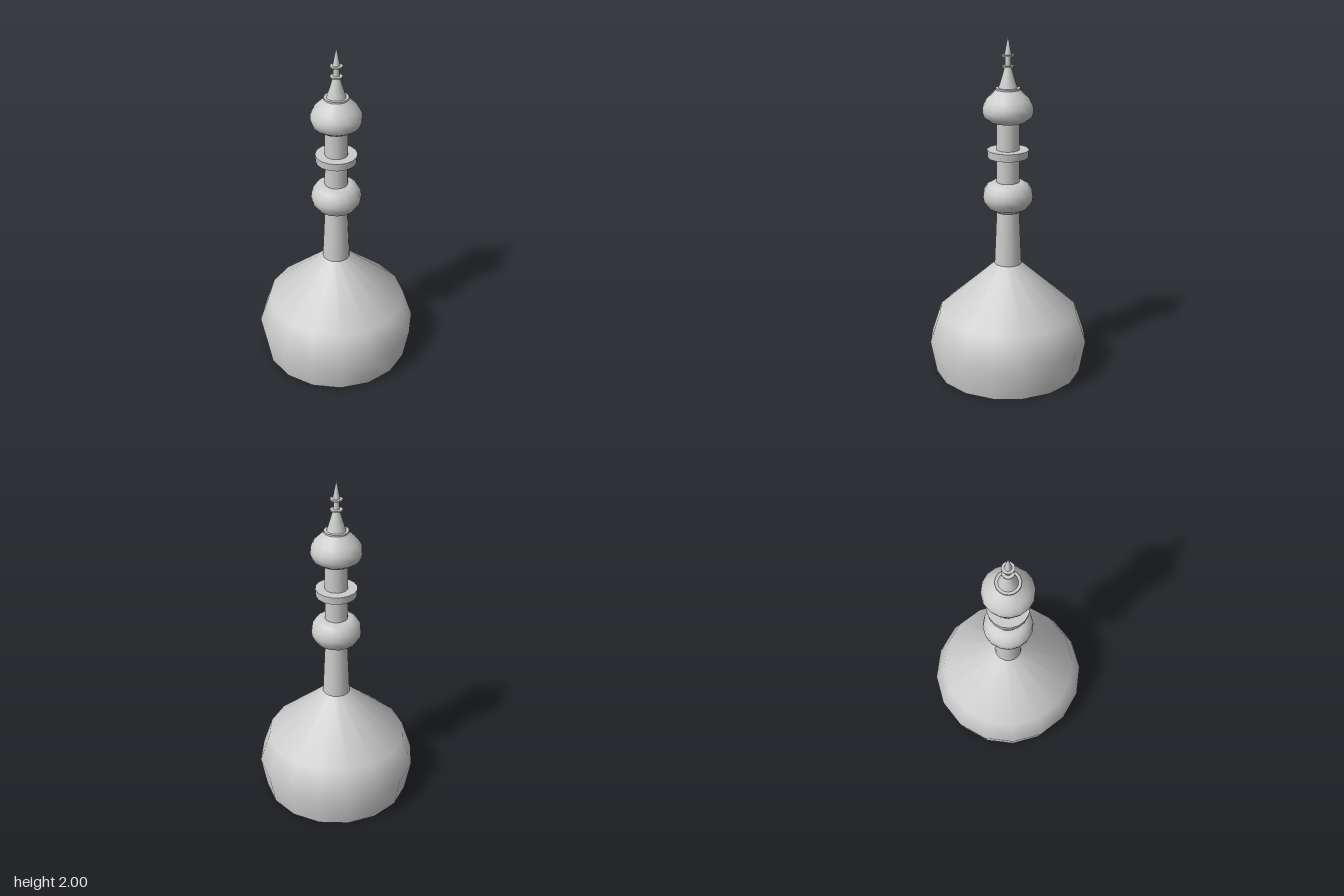
import * as THREE from 'three';

const SIDES = 16;
const material = new THREE.MeshStandardMaterial({ color: 0xcccccc, side: THREE.DoubleSide });

// Turned part from a bottom-to-top profile of [radius, height] pairs
function turned(name, profile) {
  const points = profile.map(([r, y]) => new THREE.Vector2(r, y));
  const mesh = new THREE.Mesh(new THREE.LatheGeometry(points, SIDES), material);
  mesh.name = name;
  return mesh;
}

// Flat-faced disc with crisp edges
function disc(name, bottomRadius, topRadius, y0, y1) {
  const mesh = new THREE.Mesh(new THREE.CylinderGeometry(topRadius, bottomRadius, y1 - y0, SIDES), material);
  mesh.position.y = (y0 + y1) / 2;
  mesh.name = name;
  return mesh;
}

export function createModel() {
  const group = new THREE.Group();
  group.name = 'domeWithSpire';

  group.add(
    // Hollow dome, open underneath
    turned('dome', [[0.435, 0], [0.47, 0.195], [0.41, 0.375], [0.08, 0.67]]),

    // Tapered neck and the column above it
    turned('neck', [[0.08, 0.67], [0.066, 0.99]]),
    turned('column', [[0.066, 1.16], [0.066, 1.52]]),

    // Lower bulb
    turned('lowerBulb', [
      [0.064, 0.985], [0.115, 1.013], [0.14, 1.05], [0.145, 1.08],
      [0.14, 1.115], [0.118, 1.15], [0.09, 1.165], [0.064, 1.165],
    ]),

    // Collar around the column
    disc('columnRing', 0.116, 0.12, 1.31, 1.355),

    // Onion-shaped upper bulb
    turned('upperBulb', [
      [0.064, 1.513], [0.1, 1.517], [0.135, 1.542], [0.145, 1.575],
      [0.143, 1.605], [0.125, 1.642], [0.095, 1.672], [0.068, 1.698],
    ]),
    disc('bulbCap', 0.07, 0.07, 1.698, 1.708),

    // Finial: flared cone, two thin rings and a needle tip
    turned('finialCone', [[0.054, 1.708], [0.036, 1.765], [0.019, 1.825]]),
    turned('finialStem', [[0.017, 1.825], [0.016, 1.89]]),
    turned('finialTip', [[0.02, 1.892], [0.011, 1.94], [0, 2]]),
  );
  for (const y of [1.827, 1.887]) group.add(disc('finialRing', 0.035, 0.035, y - 0.004, y + 0.004));

  return group;
}
